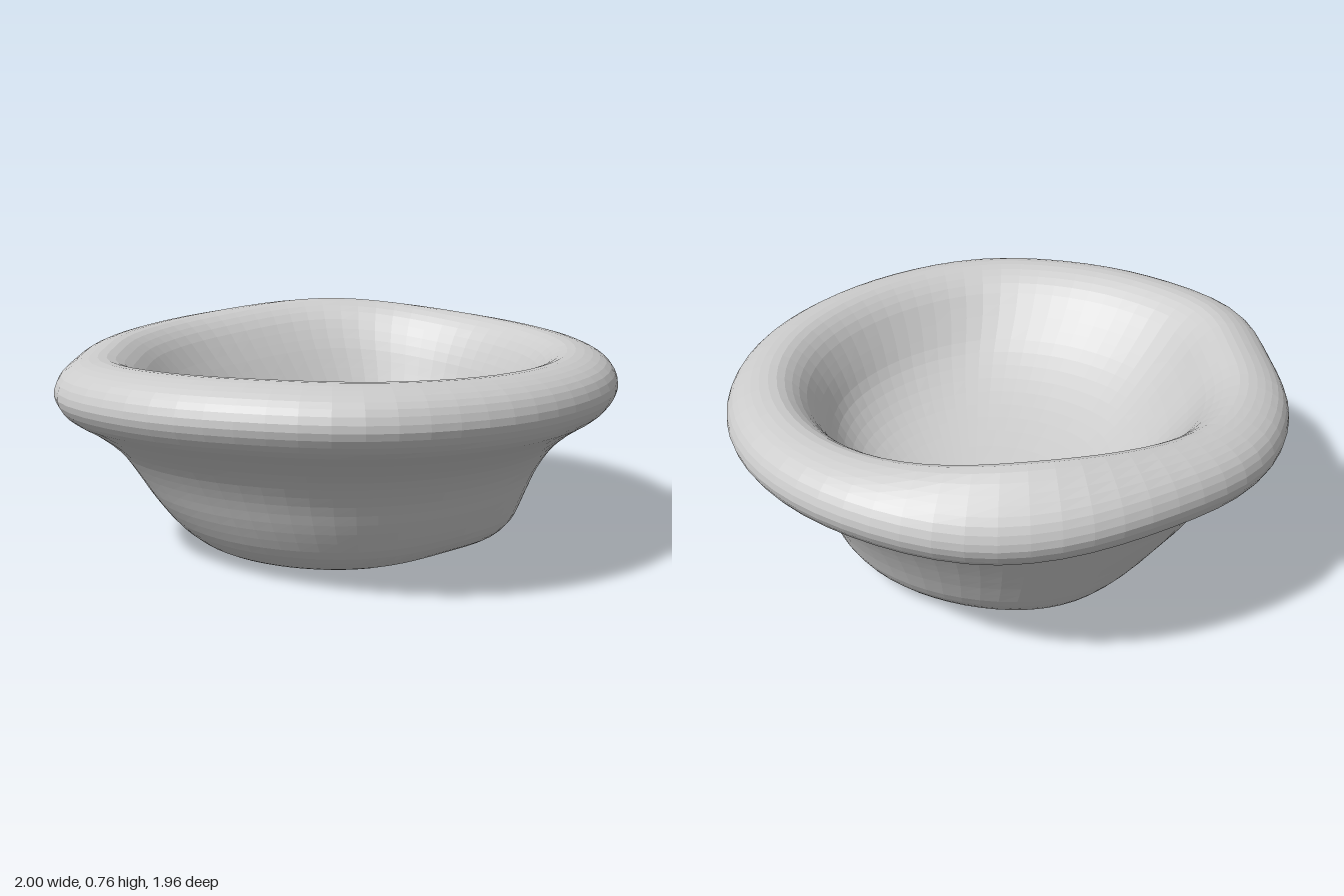
import * as THREE from 'three';

// Rim radius every 22.5 degrees, from +x towards +z
const RIM = [1, 1, 0.995, 0.985, 0.975, 0.98, 0.995, 0.985, 1, 1.02, 0.955, 0.965, 0.98, 0.965, 0.975, 0.995];

// Cross-section rings from under the base, over the rim, to the inside floor:
// [radius, height, centre x, centre z]
const RINGS = [
  [0, 0.26, -0.18, 0.04], [0.11, 0.23, -0.18, 0.04], [0.22, 0.16, -0.18, 0.05],
  [0.31, 0.085, -0.16, 0.05], [0.38, 0.045, -0.12, 0.04], [0.46, 0.035, -0.05, 0.03],
  [0.555, 0.045, 0.01, 0.02], [0.62, 0.1, 0.01, 0.02], [0.68, 0.2, 0, 0.01],
  [0.735, 0.3, 0, 0], [0.8, 0.39, 0, 0], [0.885, 0.46, 0, 0], [0.965, 0.515, 0, 0],
  [1, 0.58, 0, 0], [0.975, 0.645, 0, 0], [0.91, 0.685, 0, 0], [0.82, 0.695, 0, 0],
  [0.74, 0.65, 0.01, 0], [0.66, 0.555, 0.03, 0], [0.58, 0.455, 0.07, 0],
  [0.48, 0.37, 0.13, -0.02], [0.36, 0.31, 0.2, -0.05], [0.2, 0.26, 0.3, -0.09],
  [0, 0.22, 0.42, -0.14],
];

// Smooth periodic lookup of the rim radius
function rimRadius(a) {
  const n = RIM.length;
  const t = (a / (Math.PI * 2)) * n;
  const i = Math.floor(t);
  const f = t - i;
  const v = (k) => RIM[(i + k + n) % n];
  const [p, q, r, s] = [v(-1), v(0), v(1), v(2)];
  return q + 0.5 * f * (r - p + f * (2 * p - 5 * q + 4 * r - s + f * (3 * (q - r) + s - p)));
}

// Bump of the given width around one direction
const bump = (a, centre, sharp) => Math.exp(sharp * (Math.cos(a - centre) - 1));

function bowlGeometry(rows, cols) {
  const section = new THREE.CatmullRomCurve3(RINGS.map(([r, y]) => new THREE.Vector3(r, y, 0)));
  const centres = new THREE.CatmullRomCurve3(RINGS.map(([, , x, z]) => new THREE.Vector3(x, 0, z)), false, 'catmullrom');
  const positions = [];
  const index = [];
  const { lerp, smoothstep } = THREE.MathUtils;
  for (let i = 0; i <= rows; i++) {
    const t = i / rows;
    const s = section.getPoint(t);
    const c = centres.getPoint(t);
    const high = smoothstep(s.y, 0.1, 0.7);
    const low = (1 - smoothstep(s.y, 0.04, 0.3)) * smoothstep(s.x, 0.25, 0.5);
    const lip = smoothstep(s.x, 0.8, 1);
    for (let j = 0; j < cols; j++) {
      const a = (j / cols) * Math.PI * 2;
      const wobble = lerp(1, rimRadius(a), Math.sqrt(high));
      // narrower foot at the back
      const r = Math.max(0, s.x) * (wobble - 0.06 * low * bump(a, -Math.PI / 2, 3));
      // raised rim corner with a drooping lip, sagging foot, and a notch in the foot at the front
      const y = s.y
        + high * (0.065 * bump(a, -0.75, 5) + 0.025 * bump(a, 2.6, 3))
        - lip * 0.07 * bump(a, -0.65, 10)
        - low * 0.035 * bump(a, -1.07, 6)
        + low * 0.02 * bump(a, 1.75, 14);
      positions.push(c.x + r * Math.cos(a), y, c.z + r * Math.sin(a));
      if (i < rows) {
        const k = (j + 1) % cols;
        const [p, q, u, v] = [i * cols + j, i * cols + k, (i + 1) * cols + j, (i + 1) * cols + k];
        if (i === 0) index.push(p, u, v);
        else if (i === rows - 1) index.push(p, u, q);
        else index.push(p, u, q, q, u, v);
      }
    }
  }
  const g = new THREE.BufferGeometry();
  g.setAttribute('position', new THREE.Float32BufferAttribute(positions, 3));
  g.setIndex(index);
  g.computeVertexNormals();
  return g;
}

export function createModel() {
  const group = new THREE.Group();
  group.name = 'bowl';

  // Hand-shaped bowl: hollow foot, flared wall, rolled rim and off-centre floor
  const body = new THREE.Mesh(
    bowlGeometry(69, 64),
    new THREE.MeshStandardMaterial({ color: 0xcccccc, flatShading: true }),
  );
  body.name = 'bowlBody';
  group.add(body);

  // Stand on the ground, centred
  const box = new THREE.Box3().setFromObject(body);
  const mid = box.getCenter(new THREE.Vector3());
  body.position.set(-mid.x, -box.min.y, -mid.z);
  return group;
}
